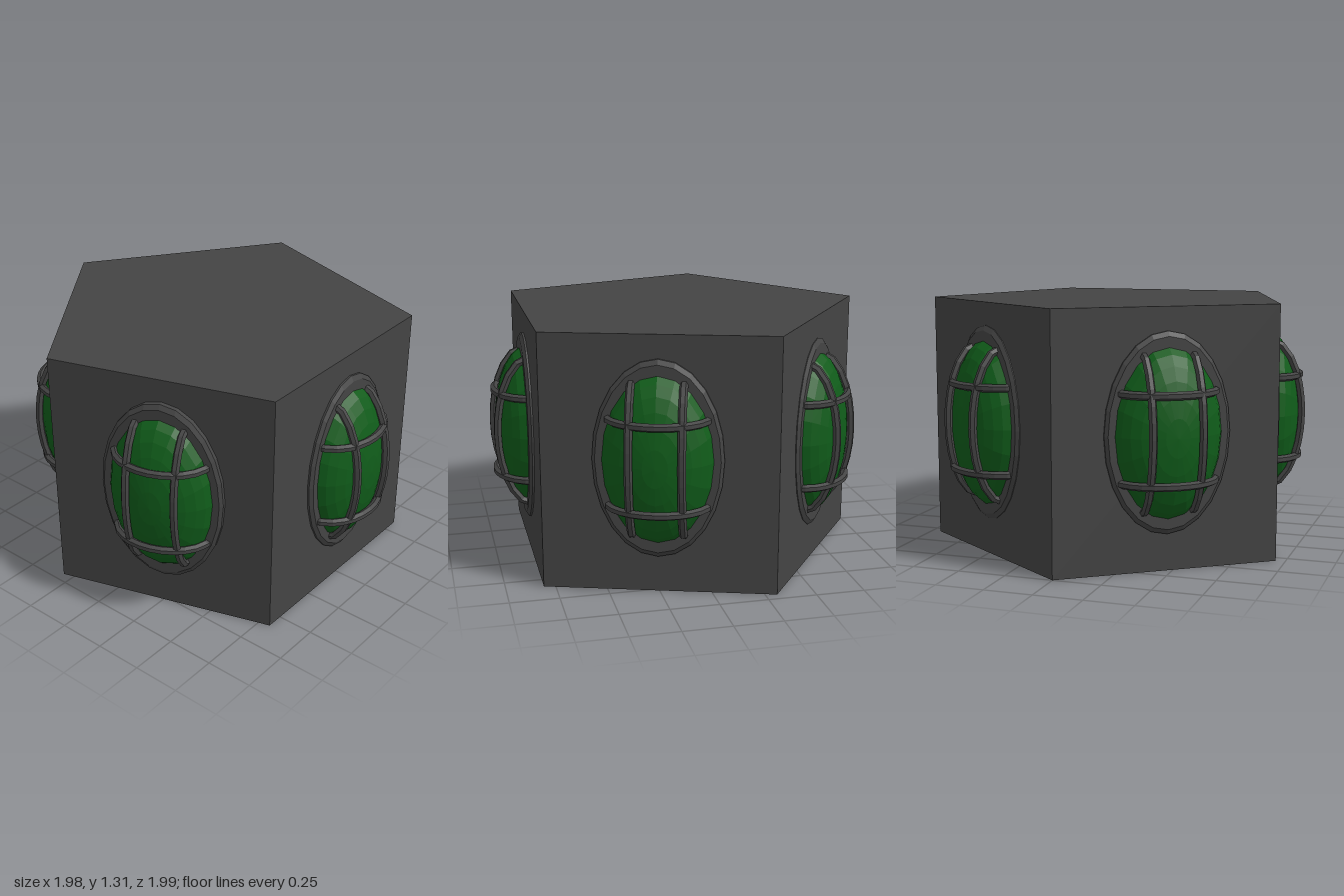
import * as THREE from 'three';

const SIDES = 5;
const HEIGHT = 1.31;
const APOTHEM = Math.cos(Math.PI / SIDES);
const casing = new THREE.MeshStandardMaterial({ color: 0x444444, flatShading: true });
const glass = new THREE.MeshStandardMaterial({ color: 0x105c1a, flatShading: true });

function part(name, geometry, material) {
  const mesh = new THREE.Mesh(geometry, material);
  mesh.name = name;
  return mesh;
}

// Arched guard bar, bowed out along +z across the lamp
function guardBar(name, halfSpan, offset, upright) {
  const points = [];
  for (let i = 0; i <= 10; i++) {
    const t = Math.PI * i / 10;
    const along = halfSpan * Math.cos(t);
    const z = -0.02 + 0.185 * Math.sin(t);
    points.push(upright ? new THREE.Vector3(offset, along, z) : new THREE.Vector3(along, offset, z));
  }
  const curve = new THREE.CatmullRomCurve3(points);
  return part(name, new THREE.TubeGeometry(curve, 12, 0.021, 6), casing);
}

// Oval lamp with its back on z = 0, facing +z
function lamp() {
  const group = new THREE.Group();
  group.name = 'lamp';

  // Bevelled oval flange
  const profile = [[1, -0.04], [1, 0.01], [0.95, 0.025], [0, 0.025]].map(p => new THREE.Vector2(...p));
  const flange = new THREE.LatheGeometry(profile, 24).rotateX(Math.PI / 2).scale(0.325, 0.502, 1);
  group.add(part('flange', flange, casing));

  // Bulging glass
  const dome = new THREE.SphereGeometry(1, 20, 7, 0, Math.PI * 2, 0, Math.PI / 2)
    .rotateX(Math.PI / 2).scale(0.282, 0.435, 0.185).translate(0, 0, -0.018);
  group.add(part('glassDome', dome, glass));

  // Guard cage
  for (const s of [-1, 1]) {
    group.add(guardBar('uprightBar', 0.4, 0.128 * s, true));
    group.add(guardBar('crossBar', 0.25, 0.22 * s - 0.014, false));
  }
  return group;
}

export function createModel() {
  const model = new THREE.Group();
  model.name = 'pentagonalLampHousing';

  // Five-sided body with a flat side to the front
  const body = new THREE.CylinderGeometry(1, 1, HEIGHT, SIDES)
    .rotateY(Math.PI / SIDES).translate(0, HEIGHT / 2, 0);
  model.add(part('housing', body, casing));

  // One lamp per side, each set slightly off centre: [sideways, outwards]
  const offsets = [[0.022, 0], [-0.005, 0.003], [-0.023, -0.006], [-0.004, 0], [0.018, 0.014]];
  offsets.forEach(([sideways, outwards], i) => {
    const side = new THREE.Group();
    side.name = 'lampSide' + (i + 1);
    const unit = lamp();
    unit.position.set(sideways, 0.69, APOTHEM + outwards);
    side.add(unit);
    side.rotation.y = i * 2 * Math.PI / SIDES;
    model.add(side);
  });
  return model;
}
